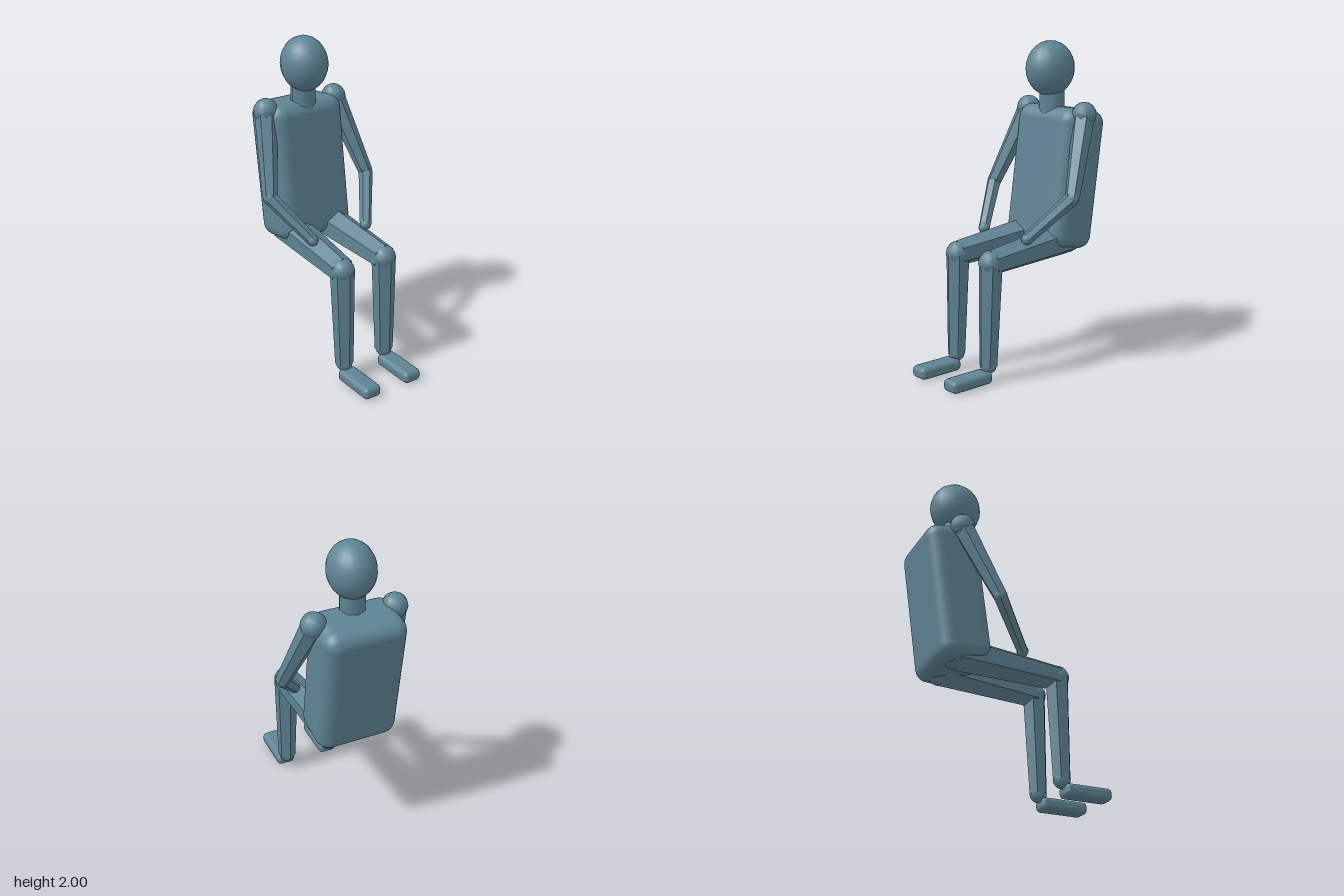
import * as THREE from 'three';
import { RoundedBoxGeometry } from 'three/addons/geometries/RoundedBoxGeometry.js';

export function createModel() {
  const model = new THREE.Group();
  model.name = 'seatedFigure';
  const slate = new THREE.MeshStandardMaterial({ color: 0x5f8494 });
  slate.name = 'slateBlue';

  const add = (parent, name, geometry, x, y, z) => {
    const mesh = new THREE.Mesh(geometry, slate);
    mesh.name = name;
    mesh.position.set(x, y, z);
    parent.add(mesh);
    return mesh;
  };

  const joint = (parent, name, [x, y, z], r) =>
    add(parent, name, new THREE.SphereGeometry(r, 12, 8), x, y, z);

  // Tapered six-sided limb with flat faces between two points
  const limb = (parent, name, from, to, rFrom, rTo) => {
    const a = new THREE.Vector3(...from);
    const b = new THREE.Vector3(...to);
    const dir = b.clone().sub(a);
    const geometry = new THREE.CylinderGeometry(rTo, rFrom, dir.length(), 6).toNonIndexed();
    geometry.computeVertexNormals();
    const mid = a.add(b).multiplyScalar(0.5);
    const mesh = add(parent, name, geometry, mid.x, mid.y, mid.z);
    mesh.quaternion.setFromUnitVectors(new THREE.Vector3(0, 1, 0), dir.normalize());
  };

  // Head, neck and backward-leaning torso
  const head = add(model, 'head', new THREE.SphereGeometry(1, 20, 14), 0, 1.83, -0.34);
  head.scale.set(0.141, 0.17, 0.16);
  add(model, 'neck', new THREE.CylinderGeometry(0.077, 0.08, 0.18, 8), 0, 1.64, -0.357);
  const torso = add(model, 'torso', new RoundedBoxGeometry(0.51, 0.873, 0.33, 3, 0.085), 0, 1.155, -0.386);
  torso.rotation.x = -0.14;

  // Arms and legs, mirrored
  for (const [side, s] of [['left', 1], ['right', -1]]) {
    const shoulder = [s * 0.25, 1.563, -0.39];
    const elbow = [s * 0.36, 1.09, -0.19];
    const wrist = [s * 0.2, 0.845, 0.028];
    const arm = new THREE.Group();
    arm.name = side + 'Arm';
    joint(arm, 'shoulder', shoulder, 0.077);
    limb(arm, 'upperArm', elbow, shoulder, 0.045, 0.07);
    joint(arm, 'elbow', elbow, 0.043);
    limb(arm, 'forearm', wrist, elbow, 0.036, 0.045);
    joint(arm, 'hand', wrist, 0.036);

    const hip = [s * 0.13, 0.785, -0.36];
    const knee = [s * 0.155, 0.732, 0.275];
    const ankle = [s * 0.153, 0.1, 0.295];
    const leg = new THREE.Group();
    leg.name = side + 'Leg';
    joint(leg, 'hip', hip, 0.1);
    limb(leg, 'thigh', hip, knee, 0.11, 0.08);
    joint(leg, 'knee', knee, 0.075);
    limb(leg, 'shin', ankle, knee, 0.057, 0.075);
    joint(leg, 'ankle', ankle, 0.052);
    add(leg, 'foot', new RoundedBoxGeometry(0.12, 0.075, 0.3, 2, 0.028), s * 0.152, 0.0375, 0.45);
    model.add(arm, leg);
  }
  return model;
}
